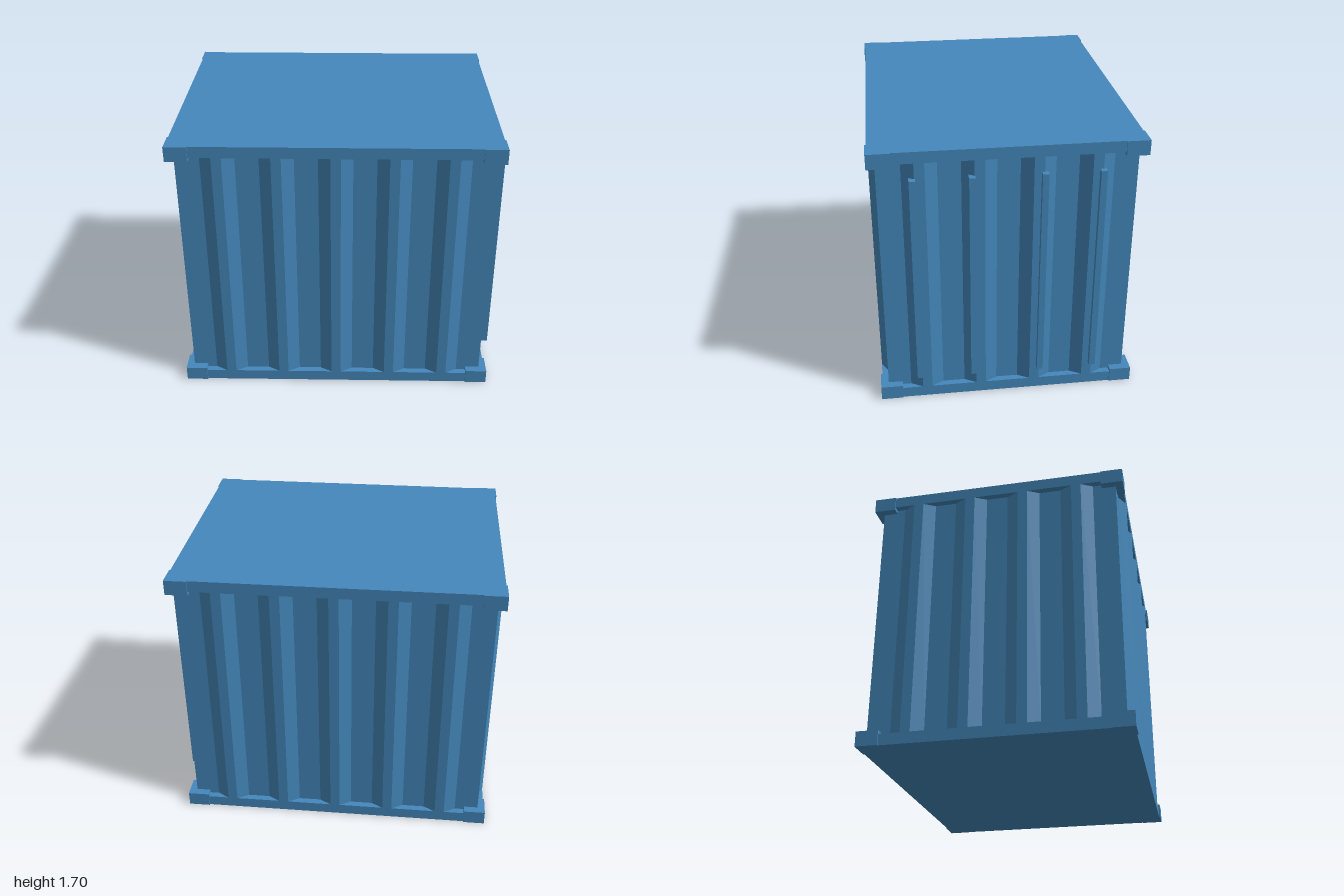
import * as THREE from 'three';

const W = 0.975, D = 0.79;   // half width and half depth at the rails
const H = 1.695, RAIL = 0.07; // full height, rail height
const DEPTH = 0.04;          // depth of the corrugation
const FLAT = 0.03, FOOT = 0.102; // half widths of a rib at its crest and foot

// Points of one corrugated wall: ribs along the wall, set out from its floor
function wallPoints(count, pitch, half, out) {
  const pts = [[-half, out - DEPTH]];
  for (let i = 0; i < count; i++) {
    const c = (i - (count - 1) / 2) * pitch;
    pts.push([c - FOOT, out - DEPTH], [c - FLAT, out], [c + FLAT, out], [c + FOOT, out - DEPTH]);
  }
  return pts;
}

export function createModel() {
  const material = new THREE.MeshStandardMaterial({ color: 0x4488bb, flatShading: true });
  const group = new THREE.Group();
  group.name = 'container';

  const add = (name, geometry, x = 0, y = 0, z = 0) => {
    const mesh = new THREE.Mesh(geometry, material);
    mesh.name = name;
    mesh.position.set(x, y, z);
    group.add(mesh);
  };

  // Corrugated walls: one closed outline, walked side by side
  const outline = [];
  const long = wallPoints(5, 0.343, W - DEPTH, D);
  const short = wallPoints(4, 0.338, D - DEPTH, W);
  for (const [t, o] of long) outline.push(new THREE.Vector2(t, -o));
  for (const [t, o] of short) outline.push(new THREE.Vector2(o, t));
  for (const [t, o] of long) outline.push(new THREE.Vector2(-t, o));
  for (const [t, o] of short) outline.push(new THREE.Vector2(-o, -t));
  const walls = new THREE.ExtrudeGeometry(new THREE.Shape(outline), {
    depth: H - 2 * RAIL, bevelEnabled: false,
  });
  walls.rotateX(-Math.PI / 2);
  add('corrugatedWalls', walls, 0, RAIL, 0);

  // Floor and roof, whose edges form the rails
  const slab = new THREE.BoxGeometry(2 * W, RAIL, 2 * D);
  add('floor', slab, 0, RAIL / 2, 0);
  add('roof', slab, 0, H - RAIL / 2, 0);

  // Corner castings, slightly proud of the rails
  const size = 0.135, height = 0.092;
  const block = new THREE.BoxGeometry(size, height, size);
  for (const x of [-1, 1])
    for (const z of [-1, 1])
      for (const y of [height / 2, H - height / 2])
        add('cornerBlock', block, x * (W + 0.007 - size / 2), y, z * (D + 0.008 - size / 2));

  // Locking bars on the door end
  const bar = new THREE.BoxGeometry(0.06, 1.365, 0.037);
  for (const z of [0.55, 0.215, -0.2, -0.535]) add('lockingBar', bar, 0.978, 0.848, z);

  // The whole container stands very slightly turned
  group.rotation.y = -0.0075;
  group.position.x = -0.012;
  const model = new THREE.Group();
  model.add(group);
  return model;
}
